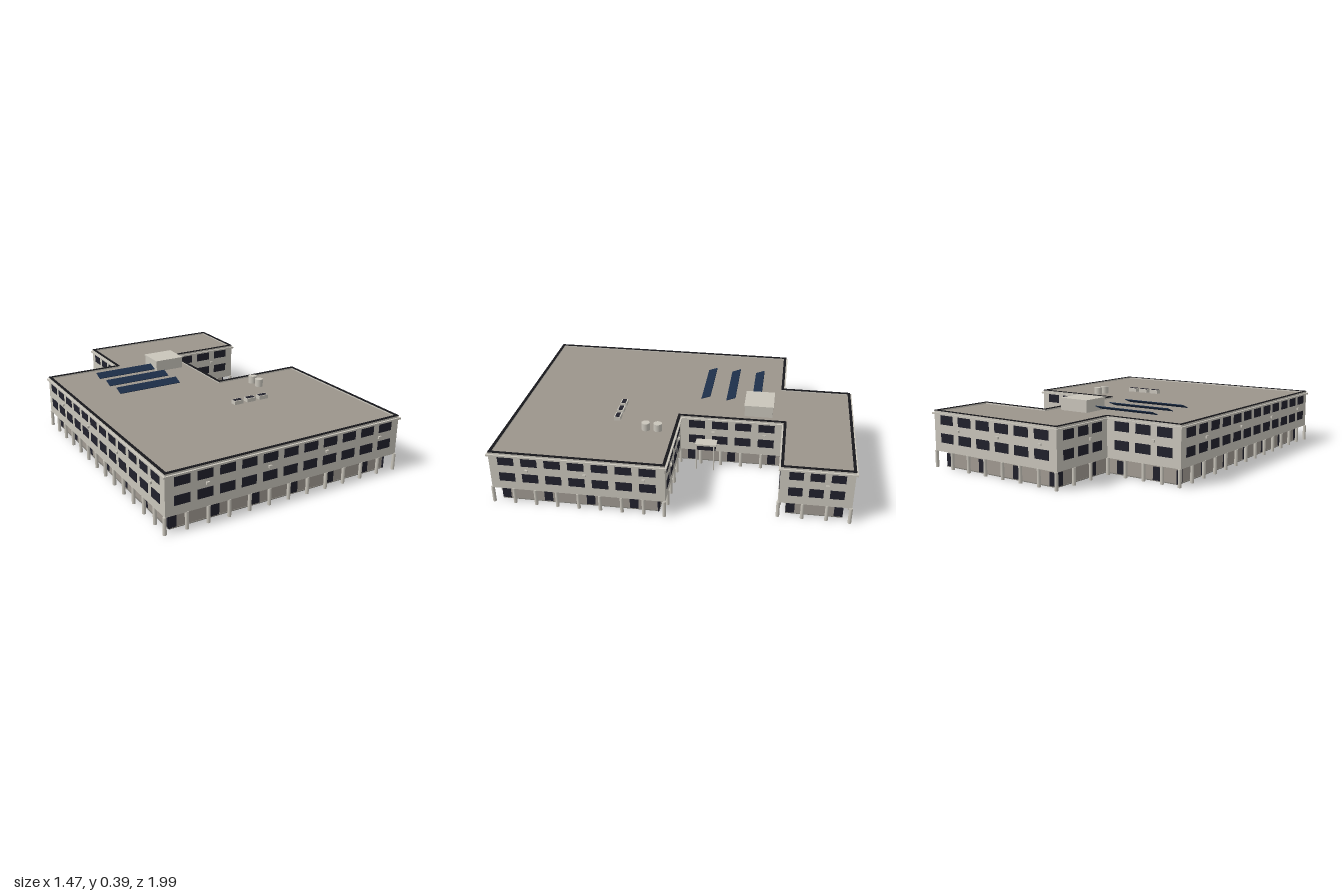
import * as THREE from 'three';

const mat = (name, color, side = THREE.FrontSide) => {
  const m = new THREE.MeshStandardMaterial({ color, side });
  m.name = name;
  return m;
};

// Footprint corners as [x, z], running front, right, back, left
const FOOTPRINT = [
  [-0.725, 0.985], [0.725, 0.985], [0.725, 0.01], [0.17, 0.01], [0.17, -0.595],
  [0.64, -0.595], [0.64, -0.988], [-0.26, -0.988], [-0.26, -0.58], [-0.725, -0.58],
];

// One record per facade: start, direction, outward normal, length
const EDGES = FOOTPRINT.map(([x, z], i) => {
  const [x2, z2] = FOOTPRINT[(i + 1) % FOOTPRINT.length];
  const length = Math.hypot(x2 - x, z2 - z);
  const dx = (x2 - x) / length, dz = (z2 - z) / length;
  return { x, z, dx, dz, nx: -dz, nz: dx, length };
});

// Footprint grown (d > 0) or shrunk (d < 0); all corners are square
const offset = (d) => EDGES.map((e, i) => {
  const p = EDGES[(i + EDGES.length - 1) % EDGES.length];
  return new THREE.Vector2(e.x + d * (e.nx + p.nx), -(e.z + d * (e.nz + p.nz)));
});

export function createModel() {
  const M = {
    wall: mat('pale stone', 0xc9c5bb),
    ground: mat('taupe stone', 0xa19a92),
    roof: mat('roof membrane', 0x9c958c),
    glass: mat('dark glass', 0x21212c),
    coping: mat('black coping', 0x17171b),
    solar: mat('solar blue', 0x1c2e48),
    base: mat('foundation grey', 0x7f7c75),
  };
  const model = new THREE.Group();
  model.name = 'building';

  const add = (name, geometry, material, x = 0, y = 0, z = 0, parent = model) => {
    const mesh = new THREE.Mesh(geometry, material);
    mesh.name = name;
    mesh.position.set(x, y, z);
    parent.add(mesh);
    return mesh;
  };
  const box = (name, w, h, d, material, x, y, z) =>
    add(name, new THREE.BoxGeometry(w, h, d), material, x, y, z);

  // Horizontal slab following the footprint, optionally hollow
  const slab = (name, outer, y0, y1, material, inner) => {
    const shape = new THREE.Shape(offset(outer));
    if (inner !== undefined) shape.holes.push(new THREE.Path(offset(inner)));
    const g = new THREE.ExtrudeGeometry(shape, { depth: y1 - y0, bevelEnabled: false });
    g.rotateX(-Math.PI / 2);
    return add(name, g, material, 0, y0, 0);
  };

  slab('foundation', -0.04, 0, 0.004, M.base);
  slab('groundFloor', -0.045, 0.004, 0.095, M.ground);
  slab('upperFloors', 0, 0.095, 0.305, M.wall);
  slab('cornice', 0.01, 0.303, 0.313, M.wall);
  slab('roofDeck', -0.014, 0.312, 0.315, M.roof);
  slab('parapet', 0, 0.313, 0.323, M.wall, -0.014);
  slab('parapetCoping', 0.001, 0.323, 0.326, M.coping, -0.015);

  // Facade elements placed along each edge
  const columnGeo = new THREE.CylinderGeometry(0.01, 0.01, 0.096, 12);
  const doorGeo = new THREE.BoxGeometry(0.048, 0.073, 0.006);
  const ventGeo = new THREE.BoxGeometry(0.018, 0.013, 0.02);
  EDGES.forEach((e, i) => {
    const facade = new THREE.Group();
    facade.name = `facade${i + 1}`;
    model.add(facade);
    const place = (name, geo, material, t, y, out) => {
      const m = add(name, geo, material,
        e.x + e.dx * t + e.nx * out, y, e.z + e.dz * t + e.nz * out, facade);
      m.rotation.y = Math.atan2(e.nx, e.nz);
    };
    // Two rows of windows
    const count = Math.floor(e.length / 0.13);
    const step = (e.length - 0.06) / count;
    const windowGeo = new THREE.BoxGeometry(step * 0.69, 0.052, 0.006);
    for (let k = 0; k < count; k++)
      for (const y of [0.173, 0.275])
        place('window', windowGeo, M.glass, 0.03 + step * (k + 0.5), y, 0);
    // Arcade columns, with a door in every second bay
    const bays = Math.round(e.length / 0.122);
    const pitch = e.length / bays;
    for (let k = 0; k < bays; k++) {
      place('column', columnGeo, M.wall, pitch * k, 0.048, -0.006);
      if (k % 2 === 0) place('door', doorGeo, M.glass, pitch * (k + 0.5), 0.04, -0.045);
    }
    // Small wall vents between the window rows
    const vents = Math.max(1, Math.round(e.length / 0.35));
    for (let k = 0; k < vents; k++)
      place('wallVent', ventGeo, M.wall, e.length * (k + 0.64) / vents, 0.223, 0);
  });

  // Courtyard entrance: canopy, glazing and posts
  box('entranceCanopy', 0.07, 0.01, 0.125, M.wall, 0.205, 0.171, -0.148);
  box('entranceGlazing', 0.008, 0.065, 0.12, M.glass, 0.175, 0.133, -0.142);
  for (const z of [-0.093, -0.197])
    add('entrancePost', new THREE.CylinderGeometry(0.004, 0.004, 0.168, 8), M.wall, 0.232, 0.084, z);

  // Stair house
  box('stairHouse', 0.184, 0.066, 0.164, M.wall, 0.016, 0.345, -0.444);
  box('stairHouseRoof', 0.192, 0.008, 0.172, M.wall, 0.016, 0.382, -0.444);

  // Tilted solar panels
  for (const z of [-0.42, -0.265, -0.112])
    box('solarPanel', 0.4, 0.004, 0.058, M.solar, -0.258, 0.334, z).rotation.x = 0.36;

  // Air handling units with dark grilles
  for (const x of [0.07, 0.155, 0.24]) {
    box('airUnit', 0.058, 0.023, 0.038, M.wall, x, 0.326, 0.37);
    box('airUnitGrille', 0.05, 0.003, 0.024, M.glass, x, 0.338, 0.37);
  }

  // Roof exhaust drums
  for (const z of [0.115, 0.185])
    add('exhaustDrum', new THREE.CylinderGeometry(0.024, 0.024, 0.046, 20), M.wall, 0.344, 0.337, z);

  return model;
}
